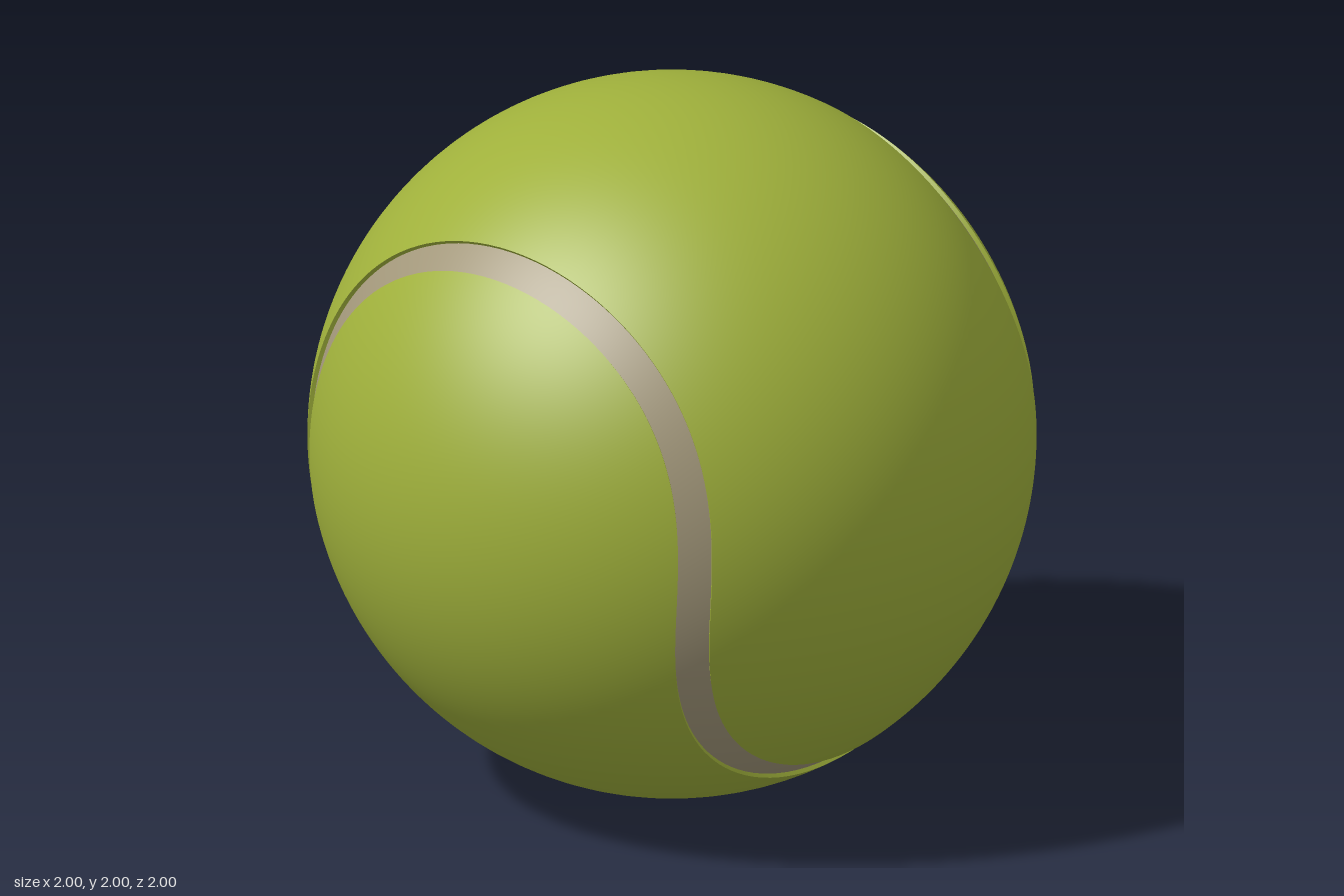
import * as THREE from 'three';

const HALF = Math.PI / 2;
const SEAM_WIDTH = 0.047; // half width, as an angle
const SEAM_RADIUS = 0.988; // the seam lies slightly below the felt
const STEPS = 160; // samples along half of the seam

// Closed seam curve on the unit sphere; s = 0 is the top of the front arch
function seamPoint(s) {
  const b = 0.36;
  return new THREE.Vector3(
    Math.sin(s) + b * Math.sin(3 * s),
    0.77 * Math.cos(2 * s),
    Math.cos(s) - b * Math.cos(3 * s)
  ).normalize();
}

// Point beside the seam, moved sideways along the sphere by an angle
function besideSeam(s, offset) {
  const p = seamPoint(s);
  const tangent = seamPoint(s + 1e-3).sub(seamPoint(s - 1e-3)).normalize();
  const side = p.clone().cross(tangent).normalize();
  return p.multiplyScalar(Math.cos(offset)).addScaledVector(side, Math.sin(offset));
}

// Grid surface from a function of two parameters in 0..1
function surface(fn, nu, nv, round) {
  const positions = [], normals = [], index = [];
  for (let i = 0; i <= nu; i++) {
    for (let j = 0; j <= nv; j++) {
      const p = fn(i / nu, j / nv);
      positions.push(p.x, p.y, p.z);
      p.normalize();
      normals.push(p.x, p.y, p.z);
      if (i < nu && j < nv) {
        const a = i * (nv + 1) + j, b = a + nv + 1;
        index.push(a, b, a + 1, b, b + 1, a + 1);
      }
    }
  }
  const geometry = new THREE.BufferGeometry();
  geometry.setAttribute('position', new THREE.Float32BufferAttribute(positions, 3));
  geometry.setIndex(index);
  if (round) geometry.setAttribute('normal', new THREE.Float32BufferAttribute(normals, 3));
  else geometry.computeVertexNormals();
  return geometry;
}

export function createModel() {
  const felt = new THREE.MeshStandardMaterial({ color: 0x9fb03b });
  felt.name = 'greenFelt';
  const rubber = new THREE.MeshStandardMaterial({ color: 0xa2977a });
  rubber.name = 'greySeam';

  const ball = new THREE.Group();
  ball.name = 'ball';
  const add = (name, geometry, material) => {
    const mesh = new THREE.Mesh(geometry, material);
    mesh.name = name;
    ball.add(mesh);
    return mesh;
  };

  // Dumbbell-shaped felt panel: arcs from the front edge to its mirror at the back
  const panel = surface((u, v) => {
    const edge = besideSeam((2 * u - 1) * HALF, SEAM_WIDTH);
    const angle = Math.asin(edge.z) * (1 - 2 * v);
    const length = Math.hypot(edge.x, edge.y);
    const c = Math.cos(angle) / length;
    return new THREE.Vector3(edge.x * c, edge.y * c, Math.sin(angle));
  }, STEPS, 56, true);
  add('upperFeltPanel', panel, felt);
  // The second panel is the first one turned half round about a diagonal
  add('lowerFeltPanel', panel, felt).quaternion.setFromAxisAngle(
    new THREE.Vector3(1, 0, 1).normalize(), Math.PI);

  // Seam ribbon running once round the ball
  const loop = (u) => (4 * u - 1) * HALF;
  add('seam', surface(
    (u, v) => besideSeam(loop(u), (2 * v - 1) * SEAM_WIDTH).multiplyScalar(SEAM_RADIUS),
    2 * STEPS, 4, true), rubber);

  // Cut edges of the two panels, down to the seam
  const depth = 1 - SEAM_RADIUS;
  add('upperPanelEdge', surface(
    (u, v) => besideSeam(loop(u), SEAM_WIDTH).multiplyScalar(SEAM_RADIUS + depth * v),
    2 * STEPS, 1, false), felt);
  add('lowerPanelEdge', surface(
    (u, v) => besideSeam(loop(u), -SEAM_WIDTH).multiplyScalar(1 - depth * v),
    2 * STEPS, 1, false), felt);

  // Resting pose, slightly tilted and twisted
  ball.rotation.set(0.087, 0.079, -0.075, 'XZY');
  ball.position.y = 1;

  const model = new THREE.Group();
  model.name = 'sportsBall';
  model.add(ball);
  return model;
}
